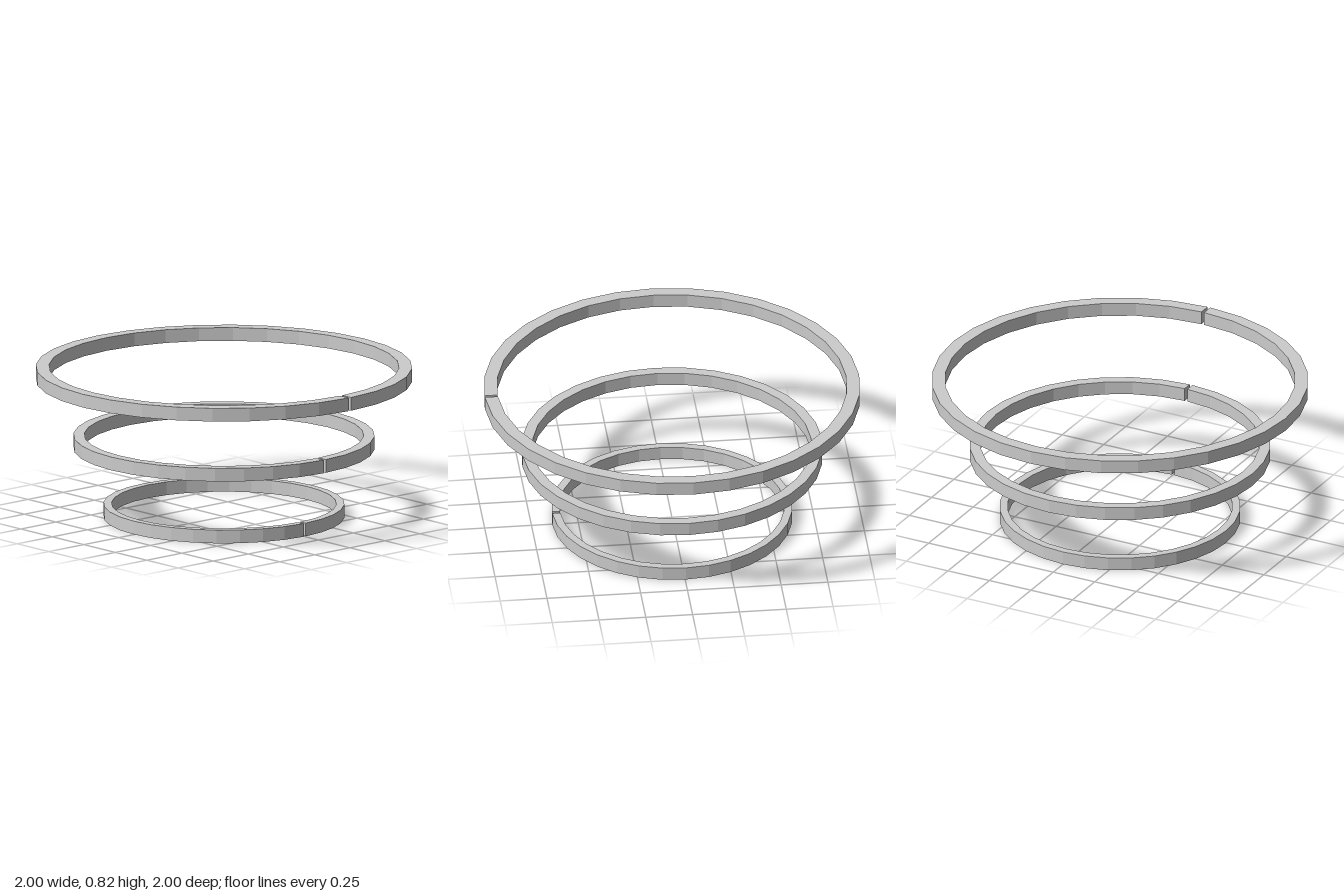
import * as THREE from 'three';

const SIDES = 32;
const HEIGHT = 0.072;
const GAP = 0.016; // width of the slit at the +x side

// Points along an almost closed circle, leaving the slit open
function arc(radius) {
  const half = GAP / 2 / radius;
  return Array.from({ length: SIDES + 1 }, (_, i) => {
    const a = half + (i / SIDES) * (2 * Math.PI - 2 * half);
    return new THREE.Vector2(radius * Math.cos(a), radius * Math.sin(a));
  });
}

// Flat split band standing on y = 0
function splitRing(outer, inner) {
  const shape = new THREE.Shape([...arc(outer), ...arc(inner).reverse()]);
  const geometry = new THREE.ExtrudeGeometry(shape, { depth: HEIGHT, bevelEnabled: false });
  return geometry.rotateX(-Math.PI / 2);
}

export function createModel() {
  const group = new THREE.Group();
  group.name = 'splitRings';
  const material = new THREE.MeshStandardMaterial({ color: 0xcccccc, flatShading: true });

  // Three rings, growing towards the top
  const rings = [
    { name: 'smallRing', outer: 0.64, inner: 0.597, y: 0 },
    { name: 'middleRing', outer: 0.8, inner: 0.742, y: 0.373 },
    { name: 'largeRing', outer: 1, inner: 0.93, y: 0.745 },
  ];
  for (const { name, outer, inner, y } of rings) {
    const ring = new THREE.Mesh(splitRing(outer, inner), material);
    ring.name = name;
    ring.position.y = y;
    group.add(ring);
  }
  return group;
}
